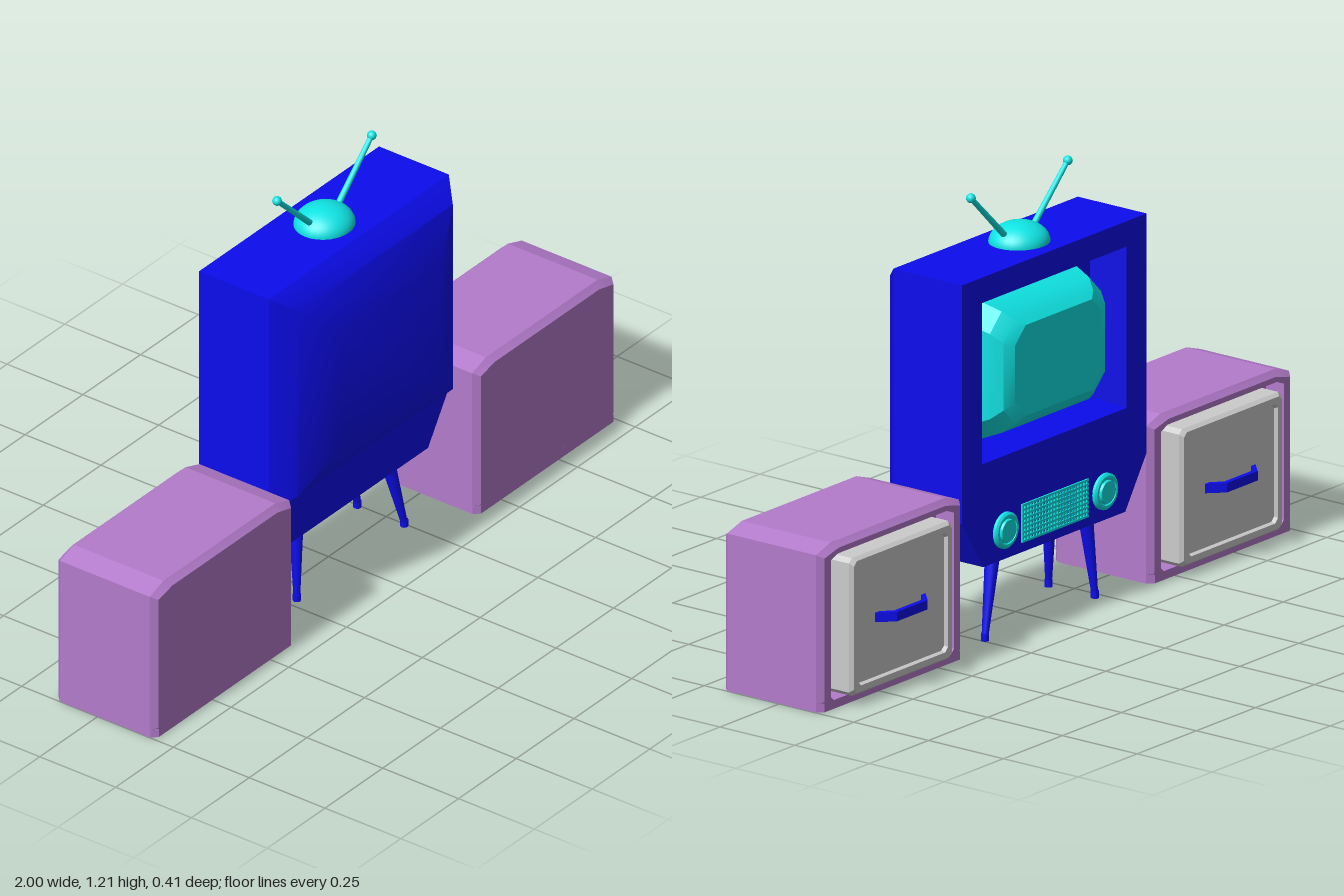
import * as THREE from 'three';
import { toCreasedNormals } from 'three/addons/utils/BufferGeometryUtils.js';

const mat = (color) => new THREE.MeshStandardMaterial({ color });
const blue = mat(0x0c0cee), cyan = mat(0x10e4e4), purple = mat(0xb47bcc), grey = mat(0xcccccc);

function add(parent, name, geometry, material, x = 0, y = 0, z = 0) {
  const mesh = new THREE.Mesh(geometry, material);
  mesh.name = name;
  mesh.position.set(x, y, z);
  parent.add(mesh);
  return mesh;
}

// Rectangle with cut corners, counter-clockwise; bottom corners may differ
function outline(hw, y0, y1, cx, cy, bx = cx, by = cy) {
  return [[hw - bx, y0], [hw, y0 + by], [hw, y1 - cy], [hw - cx, y1],
    [cx - hw, y1], [-hw, y1 - cy], [-hw, y0 + by], [bx - hw, y0]];
}

// Skin over [outline, z] sections that run from +z to -z, capped at both ends
function loft(sections, crease = 0.3) {
  const n = sections[0][0].length, pos = [], idx = [];
  for (const [pts, z] of sections) for (const [x, y] of pts) pos.push(x, y, z);
  const last = (sections.length - 1) * n;
  for (let s = 0; s < last; s += n) {
    for (let j = 0; j < n; j++) {
      const a = s + j, b = s + (j + 1) % n;
      idx.push(a, a + n, b + n, a, b + n, b);
    }
  }
  for (let j = 1; j < n - 1; j++) idx.push(0, j, j + 1, last, last + j + 1, last + j);
  const g = new THREE.BufferGeometry();
  g.setAttribute('position', new THREE.Float32BufferAttribute(pos, 3));
  g.setIndex(idx);
  return toCreasedNormals(g, crease);
}

// Tapered round bar from a to b
function bar(parent, name, a, b, ra, rb, material) {
  const from = new THREE.Vector3(...a), to = new THREE.Vector3(...b);
  const dir = to.clone().sub(from);
  const mesh = add(parent, name, new THREE.CylinderGeometry(rb, ra, dir.length(), 12), material);
  mesh.position.copy(from).add(to).multiplyScalar(0.5);
  mesh.quaternion.setFromUnitVectors(new THREE.Vector3(0, 1, 0), dir.normalize());
}

function television() {
  const tv = new THREE.Group();
  tv.name = 'television';

  // Case with tapered base and a sloping recess for the screen
  const caseShape = [[0.30, 0.23], [0.39, 0.37], [0.39, 1.03], [-0.39, 1.03], [-0.39, 0.37], [-0.30, 0.23]];
  const recess = (hw, y0, y1) => [[hw - 0.03, y0], [hw, y0], [hw, y1], [-hw, y1], [-hw, y0], [0.03 - hw, y0]];
  add(tv, 'case', loft([[caseShape, 0.10], [caseShape, -0.13],
    [recess(0.305, 0.515, 0.96), -0.13], [recess(0.265, 0.54, 0.93), -0.04]]), blue);

  // Bulging back cover
  const rect = (hw, y0, y1) => [[hw, y0], [hw, y1], [-hw, y1], [-hw, y0]];
  add(tv, 'backCover', loft([[rect(0.22, 0.52, 0.87), 0.205],
    [rect(0.335, 0.415, 0.985), 0.155], [rect(0.39, 0.37, 1.03), 0.10]], 0.8), blue);

  // Faceted picture tube
  add(tv, 'screen', loft([[outline(0.25, 0.54, 0.92, 0.05, 0.05), -0.04],
    [outline(0.235, 0.565, 0.90, 0.05, 0.05), -0.10],
    [outline(0.215, 0.59, 0.875, 0.05, 0.05), -0.13],
    [outline(0.185, 0.61, 0.86, 0.045, 0.045), -0.145]], 0.4), cyan);

  // Knobs with a raised centre
  const knob = [[0.05, 0], [0.05, 0.008], [0.044, 0.013], [0.037, 0.013], [0.035, 0.009],
    [0.032, 0.009], [0.03, 0.016], [0, 0.016]].map((p) => new THREE.Vector2(...p));
  for (const s of [-1, 1]) {
    const g = toCreasedNormals(new THREE.LatheGeometry(knob, 24), 0.5);
    add(tv, 'knob', g, cyan, s * 0.21, 0.31, -0.13).rotation.x = -Math.PI / 2;
  }

  // Speaker grille of crossing bars
  const grille = new THREE.Group();
  grille.name = 'speakerGrille';
  tv.add(grille);
  const rows = 8, cols = 22;
  for (let i = 0; i <= rows; i++) {
    add(grille, 'grilleRow', new THREE.BoxGeometry(0.28, 0.006, 0.008), cyan, 0, 0.26 + 0.1 * i / rows, -0.131);
  }
  for (let i = 0; i <= cols; i++) {
    add(grille, 'grilleColumn', new THREE.BoxGeometry(0.006, 0.1, 0.006), cyan, -0.137 + 0.274 * i / cols, 0.31, -0.131);
  }

  // Splayed legs
  for (const [topX, footX] of [[0.19, 0.243], [-0.2, -0.222]]) {
    for (const [topZ, footZ] of [[-0.075, -0.09], [0.045, 0.065]]) {
      bar(tv, 'leg', [topX, 0.24, topZ], [footX, 0.015, footZ], 0.021, 0.009, blue);
      add(tv, 'foot', new THREE.CylinderGeometry(0.011, 0.011, 0.02, 12), blue, footX, 0.015, footZ);
    }
  }

  // Aerial: flattened dome and two tipped rods
  const dome = new THREE.SphereGeometry(1, 28, 12, 0, Math.PI * 2, 0, Math.PI / 2);
  dome.scale(0.085, 0.055, 0.08);
  add(tv, 'aerialDome', dome, cyan, 0, 1.03, -0.013);
  for (const s of [-1, 1]) {
    bar(tv, 'aerialRod', [s * 0.05, 1.05, -0.013], [s * 0.205, 1.2, -0.013], 0.009, 0.007, cyan);
    add(tv, 'aerialTip', new THREE.SphereGeometry(0.013, 14, 10), cyan, s * 0.205, 1.2, -0.013);
  }
  return tv;
}

function cabinet() {
  const group = new THREE.Group();
  group.name = 'cabinet';

  // Body with bevelled edges and a drawer opening
  const full = outline(0.302, 0.025, 0.46, 0.06, 0.02, 0.004, 0.004);
  const inset = outline(0.287, 0.03, 0.445, 0.06, 0.015, 0.004, 0.004);
  const opening = outline(0.26, 0.03, 0.43, 0.03, 0.012, 0.012, 0.012);
  add(group, 'body', loft([[inset, 0.19], [full, 0.172], [full, -0.124],
    [inset, -0.14], [opening, -0.14], [opening, -0.08]]), purple);

  // Rim around the recessed underside
  const toPoints = (pts) => pts.map((p) => new THREE.Vector2(...p));
  const rim = new THREE.Shape(toPoints(outline(0.302, -0.165, 0.165, 0.016, 0.016)));
  rim.holes.push(new THREE.Path(toPoints(outline(0.26, -0.125, 0.125, 0.02, 0.02))));
  const rimGeometry = new THREE.ExtrudeGeometry(rim, { depth: 0.024, bevelEnabled: false });
  rimGeometry.rotateX(-Math.PI / 2);
  add(group, 'bottomRim', rimGeometry, purple, 0, 0.006, 0.025);

  // Drawer with a raised frame and sunken panel
  const edge = outline(0.215, 0.035, 0.415, 0.012, 0.012);
  add(group, 'drawer', loft([[edge, -0.08], [edge, -0.165],
    [outline(0.207, 0.043, 0.407, 0.012, 0.012), -0.176],
    [outline(0.19, 0.06, 0.39, 0.012, 0.012), -0.176],
    [outline(0.186, 0.064, 0.386, 0.012, 0.012), -0.166]]), grey);

  // Bent bar handle
  const handle = new THREE.Shape(toPoints([[-0.11, 0.163], [-0.065, 0.207], [0.065, 0.207], [0.11, 0.163],
    [0.092, 0.163], [0.058, 0.193], [-0.058, 0.193], [-0.092, 0.163]]));
  const handleGeometry = new THREE.ExtrudeGeometry(handle, { depth: 0.026, bevelEnabled: false });
  handleGeometry.rotateX(-Math.PI / 2);
  add(group, 'handle', handleGeometry, blue, 0, 0.214, 0);
  return group;
}

export function createModel() {
  const model = new THREE.Group();
  model.name = 'televisionWithCabinets';
  model.add(television());
  for (const s of [-1, 1]) {
    const side = cabinet();
    side.position.x = s * 0.698;
    model.add(side);
  }
  return model;
}
